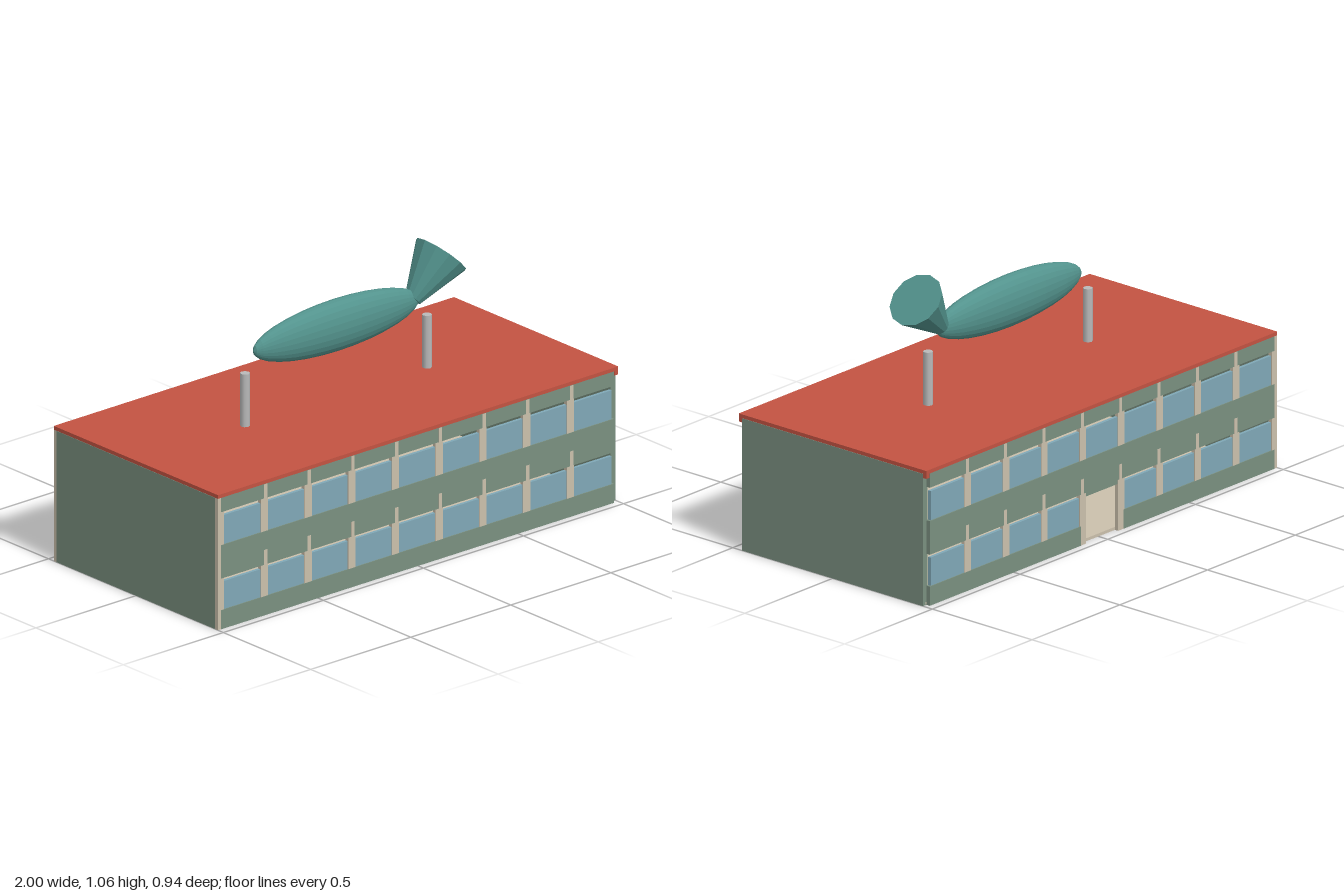
import * as THREE from 'three';

export function createModel() {
  const model = new THREE.Group();
  const mat = (name, color) => {
    const m = new THREE.MeshStandardMaterial({ color });
    m.name = name;
    return m;
  };
  const green = mat('sage green', 0x7a9080);
  const red = mat('roof red', 0xc35342);
  const blue = mat('window blue', 0x80a8b7);
  const beige = mat('concrete beige', 0xcbc0ac);
  const teal = mat('fish teal', 0x53938d);
  const grey = mat('post grey', 0xbababa);

  const add = (name, geometry, material, parent = model) => {
    const mesh = new THREE.Mesh(geometry, material);
    mesh.name = name;
    parent.add(mesh);
    return mesh;
  };
  // Box given by its limits on each axis
  const box = (name, material, x0, x1, y0, y1, z0, z1, parent) =>
    add(name, new THREE.BoxGeometry(x1 - x0, y1 - y0, z1 - z0), material, parent)
      .position.set((x0 + x1) / 2, (y0 + y1) / 2, (z0 + z1) / 2);
  const flat = (geometry) => {
    const g = geometry.toNonIndexed();
    g.computeVertexNormals();
    return g;
  };

  // Hollow shell: floor, roof and end walls
  const inner = 0.453, outer = 0.47;
  box('floor', beige, -0.985, 0.985, 0, 0.012, -inner, inner);
  box('roof', red, -1, 1, 0.532, 0.547, -outer, outer);
  box('rightWall', green, -1, -0.975, 0, 0.531, -inner, inner);
  box('leftWall', green, 0.975, 1, 0, 0.531, -inner, inner);

  // Long facades: nine bays, two storeys; the back has a doorway in the middle
  const bays = 9, pitch = 0.2185, firstX = -0.986;
  const pillarX = (i) => firstX + i * pitch;
  for (const side of [1, -1]) {
    const facade = new THREE.Group();
    facade.name = side > 0 ? 'frontFacade' : 'backFacade';
    model.add(facade);
    const strip = (name, material, x0, x1, y0, y1, depth) => {
      const a = side * inner, b = side * depth;
      box(name, material, x0, x1, y0, y1, Math.min(a, b), Math.max(a, b), facade);
    };
    const isBack = side < 0;

    // Horizontal wall bands
    if (isBack) {
      strip('lowerBand', green, -0.985, pillarX(4) - 0.012, 0, 0.077, outer);
      strip('lowerBand', green, pillarX(5) + 0.012, 0.98, 0, 0.077, outer);
      strip('doorLintel', green, pillarX(4), pillarX(5), 0.188, 0.205, outer - 0.003);
    } else {
      strip('lowerBand', green, -0.985, 0.98, 0, 0.077, outer);
    }
    strip('middleBand', green, -0.985, 0.98, 0.205, 0.34, outer);
    strip('upperBand', green, -0.985, 0.98, 0.474, 0.532, outer);

    // Corner column and pillars between the bays
    strip('cornerColumn', beige, -1, -0.97, 0, 0.532, outer - 0.0008);
    for (let i = 1; i < bays; i++) {
      const x = pillarX(i);
      strip('pillar', beige, x - 0.018, x + 0.018, 0, 0.531, outer - 0.0008);
      strip('pillarFace', beige, x - 0.004, x + 0.013, 0.205, 0.265, outer + 0.0006);
      strip('pillarFace', beige, x - 0.004, x + 0.013, 0.474, 0.531, outer + 0.0006);
    }

    // Window panes with an open slot above each
    for (let i = 0; i < bays; i++) {
      const x0 = pillarX(i) + 0.018, x1 = pillarX(i + 1) - 0.018;
      const end = i === bays - 1 ? 0.97 : x1;
      if (!(isBack && i === 4)) strip('lowerWindow', blue, x0, end, 0.077, 0.19, outer - 0.004);
      strip('upperWindow', blue, x0, end, 0.34, 0.457, outer - 0.004);
    }

    // Small drop of the roof edge at the open corner
    const c = side * (inner + outer) / 2;
    box('roofCorner', red, 0.982, 1, 0.515, 0.532, c - 0.0085, c + 0.0085, facade);
  }

  // Two round posts on the roof
  for (const x of [-0.455, 0.455]) {
    add('post', new THREE.CylinderGeometry(0.019, 0.019, 0.213, 8), grey)
      .position.set(x, 0.6535, 0);
  }

  // Fish sculpture: long body and flared tail
  const fish = new THREE.Group();
  fish.name = 'fish';
  model.add(fish);
  const body = new THREE.SphereGeometry(1, 24, 16);
  body.rotateZ(Math.PI / 2);
  body.scale(0.413, 0.104, 0.06);
  add('fishBody', flat(body), teal, fish).position.set(0, 0.836, 0);

  const tailBase = new THREE.Vector3(0.383, 0.84, 0);
  const tailEnd = new THREE.Vector3(0.525, 0.985, 0);
  const axis = tailEnd.clone().sub(tailBase);
  const tail = add('fishTail', flat(new THREE.CylinderGeometry(0.112, 0.034, axis.length(), 12)), teal, fish);
  tail.position.copy(tailBase).add(tailEnd).multiplyScalar(0.5);
  tail.quaternion.setFromUnitVectors(new THREE.Vector3(0, 1, 0), axis.normalize());

  return model;
}
